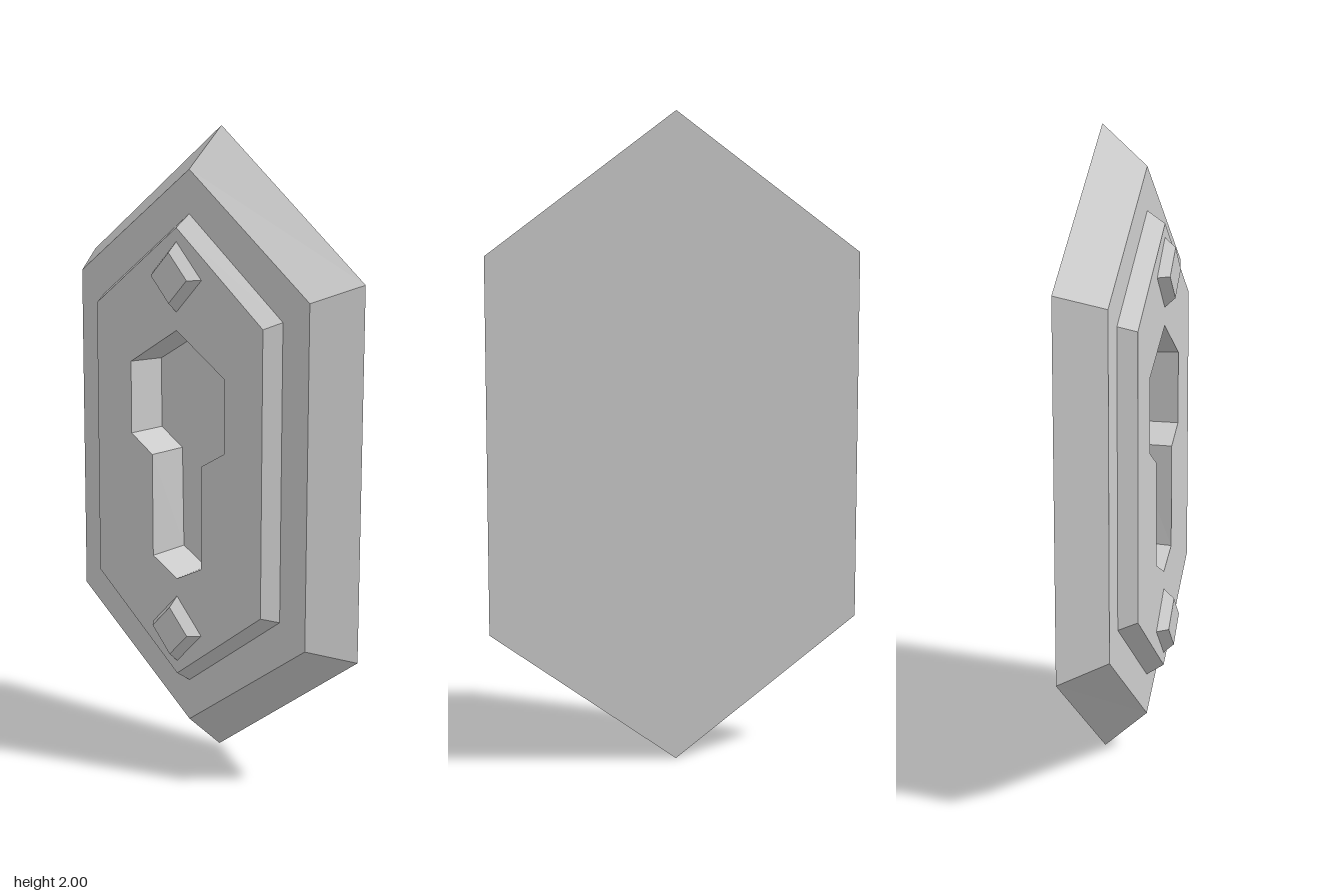
import * as THREE from 'three';
import { mergeGeometries } from 'three/addons/utils/BufferGeometryUtils.js';

const material = new THREE.MeshStandardMaterial({ color: 0xcccccc, flatShading: true });

// Mirrors the right half (bottom to top, ends on the axis) into a counter-clockwise outline.
function mirrored(half) {
  const left = half.slice(1, -1).reverse().map(([x, y]) => [-x, y]);
  return [...half, ...left];
}

// Upright hexagon, symmetric about y = 1.
const hexagon = (x, shoulder, tip) =>
  mirrored([[0, 1 - tip], [x, 1 - shoulder], [x, 1 + shoulder], [0, 1 + tip]]);

const diamond = (r, y) => mirrored([[0, y - r], [r, y], [0, y + r]]);

// Flat-sided band from outline a at depth za to outline b at depth zb.
function band(a, za, b, zb) {
  const pos = [];
  a.forEach((_, i) => {
    const j = (i + 1) % a.length;
    const [p, q, r, s] = [[...a[i], za], [...a[j], za], [...b[j], zb], [...b[i], zb]];
    pos.push(...p, ...q, ...r, ...p, ...r, ...s);
  });
  const g = new THREE.BufferGeometry();
  g.setAttribute('position', new THREE.Float32BufferAttribute(pos, 3));
  g.computeVertexNormals();
  return g;
}

// Flat face towards +z, optionally pierced.
function face(outline, z, hole) {
  const vectors = (pts) => pts.map(([x, y]) => new THREE.Vector2(x, y));
  const shape = new THREE.Shape(vectors(outline));
  if (hole) shape.holes.push(new THREE.Path(vectors(hole)));
  const g = new THREE.ShapeGeometry(shape).toNonIndexed();
  g.deleteAttribute('uv');
  return g.translate(0, 0, z);
}

function part(name, ...geometries) {
  const mesh = new THREE.Mesh(mergeGeometries(geometries), material);
  mesh.name = name;
  return mesh;
}

export function createModel() {
  const group = new THREE.Group();
  group.name = 'keyholePlate';
  const back = -0.113, step = 0.025, front = 0.08, top = 0.113, floor = -0.05;

  const mouth = mirrored([[0, 0.607], [0.107, 0.66], [0.109, 0.988], [0.203, 1.042], [0.203, 1.272], [0, 1.394]]);
  const bottom = mirrored([[0, 0.618], [0.101, 0.668], [0.107, 0.99], [0.201, 1.043], [0.201, 1.266], [0, 1.383]]);

  // Bevelled base
  const baseBack = hexagon(0.58, 0.573, 1), baseFront = hexagon(0.49, 0.525, 0.876);
  group.add(part('basePlate',
    band(baseBack, back, baseFront, step),
    face(baseFront, step, mouth),
    face(baseBack, -back).rotateY(Math.PI)));

  // Raised inner plate
  const raisedBack = hexagon(0.387, 0.458, 0.743), raisedFront = hexagon(0.359, 0.44, 0.706);
  group.add(part('raisedPlate',
    band(raisedBack, step, raisedFront, front),
    face(raisedFront, front, mouth)));

  // Sunken keyhole
  group.add(part('keyhole', band(mouth, front, bottom, floor), face(bottom, floor)));

  // Diamond studs
  for (const [name, y] of [['upperStud', 1.557], ['lowerStud', 0.443]]) {
    group.add(part(name,
      band(diamond(0.107, y), front, diamond(0.077, y), top),
      face(diamond(0.077, y), top)));
  }
  return group;
}
